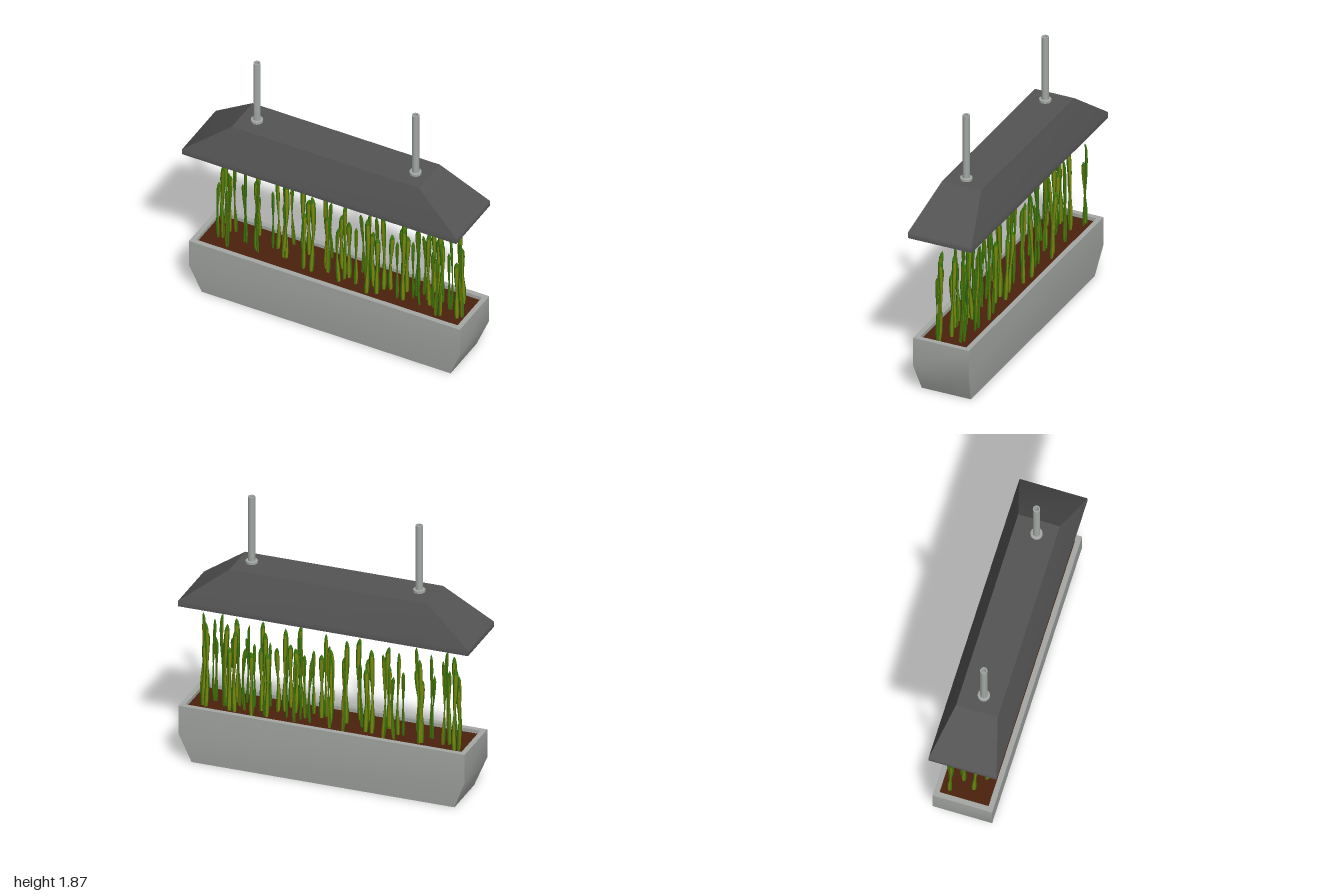
import * as THREE from 'three';
import { mergeVertices } from 'three/addons/utils/BufferGeometryUtils.js';

const mat = (name, color) => {
  const m = new THREE.MeshStandardMaterial({ color });
  m.name = name;
  return m;
};

// Small seeded random generator
function seeded(seed) {
  return () => {
    seed = (seed * 16807) % 2147483647;
    return seed / 2147483647;
  };
}

// Skin through rectangular rings [x0, x1, z0, z1, y]; each section is smooth along its height,
// with hard edges between sections and at the corners
function rectLoft(sections) {
  const positions = [];
  const index = [];
  for (const rings of sections) {
    const corners = rings.map(([x0, x1, z0, z1, y]) =>
      [[x0, y, z1], [x1, y, z1], [x1, y, z0], [x0, y, z0]]);
    for (let j = 0; j < 4; j++) {
      corners.forEach((ring, i) => {
        const a = positions.length / 3;
        positions.push(...ring[j], ...ring[(j + 1) % 4]);
        if (i < corners.length - 1) index.push(a, a + 1, a + 3, a, a + 3, a + 2);
      });
    }
  }
  const g = new THREE.BufferGeometry();
  g.setAttribute('position', new THREE.Float32BufferAttribute(positions, 3));
  g.setIndex(index);
  g.computeVertexNormals();
  return g;
}

// Blade outlines: [height, half width]
const TALL = [[0.37, 0.013], [0.43, 0.018], [0.5, 0.015], [0.58, 0.008], [0.63, 0.006], [0.7, 0.011],
  [0.78, 0.016], [0.86, 0.018], [0.92, 0.016], [0.95, 0.01], [0.967, 0.0005]];
const SHORT = [[0.37, 0.013], [0.42, 0.018], [0.5, 0.016], [0.57, 0.009], [0.62, 0.009], [0.68, 0.015],
  [0.75, 0.019], [0.79, 0.018], [0.812, 0.011], [0.826, 0.0005]];

// One fleshy, gently twisted blade: six-sided lens section, broad faces and tips coloured apart
function addBlade(profile, x, z, rand, broad, edge) {
  const yaw = (rand() - 0.5) * 3;
  const twist = (rand() - 0.5) * 1.2;
  const sway = (rand() - 0.5) * 0.024;
  const phase = rand() * 6;
  const rows = profile.map(([y, w], i) => {
    const t = i / (profile.length - 1);
    const a = yaw + twist * t;
    const cx = x + sway * Math.sin(t * 5 + phase);
    const cz = z + sway * Math.cos(t * 4 + phase);
    return [0, 1, 2, 3, 4, 5].map((k) => {
      const px = w * Math.cos(k * Math.PI / 3);
      const pz = -0.55 * w * Math.sin(k * Math.PI / 3);
      return [cx + px * Math.cos(a) + pz * Math.sin(a), y, cz - px * Math.sin(a) + pz * Math.cos(a)];
    });
  });
  for (let i = 0; i < rows.length - 1; i++) {
    const tip = i >= rows.length - 3;
    for (let s = 0; s < 6; s++) {
      const n = (s + 1) % 6;
      const [p, q, r, v] = [rows[i][s], rows[i][n], rows[i + 1][n], rows[i + 1][s]];
      (s % 3 === 1 && !tip ? broad : edge).push(...p, ...q, ...r, ...p, ...r, ...v);
    }
  }
}

export function createModel() {
  const model = new THREE.Group();
  model.name = 'hangingLampPlanter';
  const planterGrey = mat('planter grey', 0xa5a8a5);
  const hoodGrey = mat('hood dark grey', 0x545454);
  const metal = mat('pole metal', 0xa3a8a4);
  const soilBrown = mat('soil brown', 0x4c200d);
  const leafGreen = mat('leaf green', 0x3d780a);
  const leafOlive = mat('leaf olive', 0x7c850c);

  const add = (name, geometry, material) => {
    const mesh = new THREE.Mesh(geometry, material);
    mesh.name = name;
    model.add(mesh);
    return mesh;
  };

  // Trough with tapered foot and hollow top
  const foot = [-0.89, 0.92, -0.185, 0.165, 0];
  const rim = [-0.97, 1.0, -0.21, 0.19, 0.4];
  const innerRim = [-0.935, 0.965, -0.175, 0.155, 0.4];
  add('planter', rectLoft([
    [[0.015, 0.015, -0.01, -0.01, 0], foot],
    [foot, [-0.97, 1.0, -0.21, 0.19, 0.2], rim],
    [rim, innerRim],
    [innerRim, [-0.935, 0.965, -0.175, 0.155, 0.34]],
  ]), planterGrey);

  // Soil bed
  add('soil', new THREE.BoxGeometry(1.9, 0.04, 0.33), soilBrown).position.set(0.015, 0.355, -0.01);

  // Hollow lamp hood with a lowered inner ceiling
  const ceiling = [-0.59, 0.59, -0.1, 0.1, 1.278];
  const innerLip = [-0.96, 0.95, -0.205, 0.205, 1.12];
  const outerLip = [-1.0, 0.995, -0.228, 0.228, 1.12];
  const hoodTop = [-0.685, 0.678, -0.14, 0.14, 1.398];
  add('hood', rectLoft([
    [[0, 0, 0, 0, 1.278], ceiling],
    [ceiling, innerLip],
    [innerLip, outerLip],
    [outerLip, [-1.0, 0.995, -0.228, 0.228, 1.16], hoodTop],
    [hoodTop, [0, 0, 0, 0, 1.398]],
  ]), hoodGrey);

  // Hollow hanging poles with foot flanges
  const poleProfile = [[0.014, 1.4], [0.04, 1.396], [0.04, 1.414], [0.024, 1.416],
    [0.024, 1.87], [0.015, 1.87], [0.015, 1.4]].map(([r, y]) => new THREE.Vector2(r, y));
  const poleGeometry = new THREE.LatheGeometry(poleProfile, 14).toNonIndexed();
  poleGeometry.computeVertexNormals();
  [['rightPole', -0.571], ['leftPole', 0.583]].forEach(([name, x]) => {
    add(name, poleGeometry, metal).position.set(x, 0, 0.012);
  });

  // Plants in a long uneven row
  const tallX = [-0.87, -0.81, -0.77, -0.735, -0.66, -0.62, -0.54, -0.45, -0.38, -0.36, -0.28, -0.14,
    -0.08, 0, 0.08, 0.22, 0.28, 0.35, 0.45, 0.52, 0.58, 0.65, 0.69, 0.73, 0.81, 0.83, 0.85, 0.925];
  const shortX = [-0.89, -0.84, -0.8, -0.75, -0.68, -0.63, -0.55, -0.48, -0.44, -0.36, -0.24, -0.2, -0.18,
    -0.1, -0.05, 0.02, 0.06, 0.1, 0.14, 0.17, 0.2, 0.24, 0.28, 0.31, 0.34, 0.4, 0.43, 0.47, 0.5, 0.53,
    0.56, 0.6, 0.63, 0.66, 0.69, 0.72, 0.75, 0.78, 0.82, 0.87, 0.91];
  const rand = seeded(4217);
  const broad = [];
  const edge = [];
  [[TALL, tallX], [SHORT, shortX]].forEach(([profile, xs]) => {
    xs.forEach((x, i) => {
      const z = -0.125 + 0.23 * ((i * 0.618 + 0.1 * rand()) % 1);
      addBlade(profile, x, z, rand, broad, edge);
    });
  });
  const leaves = new THREE.BufferGeometry();
  leaves.setAttribute('position', new THREE.Float32BufferAttribute(broad.concat(edge), 3));
  const smoothLeaves = mergeVertices(leaves);
  smoothLeaves.addGroup(0, broad.length / 3, 0);
  smoothLeaves.addGroup(broad.length / 3, edge.length / 3, 1);
  smoothLeaves.computeVertexNormals();
  add('plantBlades', smoothLeaves, [leafOlive, leafGreen]);

  return model;
}
